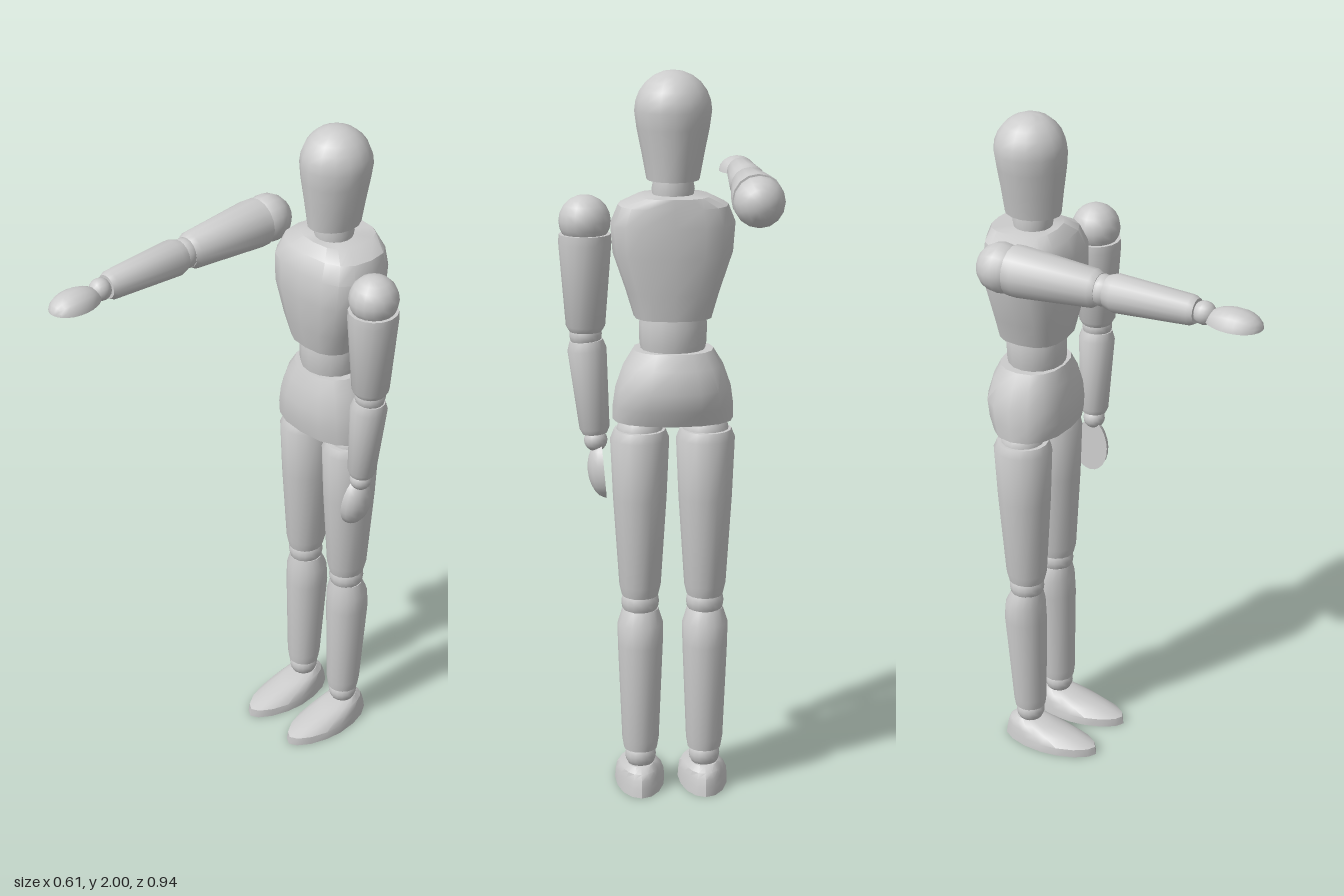
import * as THREE from 'three';
import { toCreasedNormals } from 'three/addons/utils/BufferGeometryUtils.js';

const material = new THREE.MeshStandardMaterial({ color: 0xcccccc });

function add(parent, name, geometry, x = 0, y = 0, z = 0) {
  const mesh = new THREE.Mesh(geometry, material);
  mesh.name = name;
  mesh.position.set(x, y, z);
  parent.add(mesh);
  return mesh;
}

// Closed body through rows of [y, halfWidth, zFront, zBack], listed bottom to top.
// nf and nb set how square the front and back halves are (2 = ellipse).
function loft(rows, nf = 2, nb = nf, sides = 16) {
  const pos = [], idx = [];
  const power = (v, n) => Math.sign(v) * Math.abs(v) ** (2 / n);
  for (const [y, w, zf, zb] of rows) {
    for (let i = 0; i < sides; i++) {
      const a = (i / sides) * Math.PI * 2, s = Math.sin(a), n = s > 0 ? nf : nb;
      pos.push(w * power(Math.cos(a), n), y, (zf + zb) / 2 + ((zf - zb) / 2) * power(s, n));
    }
  }
  const last = (rows.length - 1) * sides, bottom = rows.length * sides;
  for (const [y, , zf, zb] of [rows[0], rows[rows.length - 1]]) pos.push(0, y, (zf + zb) / 2);
  for (let i = 0; i < sides; i++) {
    const j = (i + 1) % sides;
    for (let r = 0; r < last; r += sides) idx.push(r + i, r + sides + i, r + j, r + sides + i, r + sides + j, r + j);
    idx.push(bottom, i, j, bottom + 1, last + j, last + i);
  }
  const g = new THREE.BufferGeometry();
  g.setAttribute('position', new THREE.Float32BufferAttribute(pos, 3));
  g.setIndex(idx);
  return toCreasedNormals(g, 0.65);
}

// Round limb from [y, radius] points, optionally deeper than wide
const limb = (points, depth = 1) => loft(points.map(([y, r]) => [y, r, r * depth, -r * depth]));
const ball = (r) => new THREE.SphereGeometry(r, 16, 10);

// Half egg with a flat palm facing -x
function handGeometry() {
  const g = new THREE.SphereGeometry(1, 16, 12);
  const p = g.attributes.position;
  for (let i = 0; i < p.count; i++) {
    const y = p.getY(i);
    p.setXYZ(i, Math.max(p.getX(i), 0) * 0.045 - 0.015, y * 0.08, p.getZ(i) * 0.054 * (1 - 0.1 * y));
  }
  return toCreasedNormals(g, 0.65);
}

// Arm hanging down -y from its shoulder, with the forearm bent inwards
function arm(name, bend) {
  const g = new THREE.Group();
  g.name = name;
  add(g, 'shoulderBall', ball(0.07));
  add(g, 'upperArm', limb([[-0.3, 0.044], [-0.285, 0.053], [-0.06, 0.071], [-0.035, 0.07]]));
  const lower = new THREE.Group();
  lower.name = 'lowerArm';
  lower.position.y = -0.31;
  lower.rotation.z = -bend;
  add(lower, 'elbowBall', ball(0.044));
  add(lower, 'forearm', limb([[-0.275, 0.034], [-0.26, 0.041], [-0.04, 0.053], [-0.015, 0.045]]));
  add(lower, 'wristBall', ball(0.032), 0, -0.295);
  add(lower, 'hand', handGeometry(), 0, -0.38);
  g.add(lower);
  return g;
}

function leg(name, x) {
  const g = new THREE.Group();
  g.name = name;
  g.position.set(x, 0, -0.338);
  add(g, 'hipBall', ball(0.064), 0, 1.03);
  add(g, 'thigh', limb([[0.57, 0.05], [0.6, 0.057], [0.85, 0.073], [1.015, 0.08], [1.04, 0.07]], 1.08));
  add(g, 'kneeBall', ball(0.052), 0, 0.55);
  add(g, 'shin', loft([
    [0.12, 0.046, 0.046, -0.046], [0.15, 0.051, 0.05, -0.05],
    [0.43, 0.062, 0.057, -0.072], [0.49, 0.063, 0.054, -0.065], [0.53, 0.05, 0.046, -0.046],
  ]));
  add(g, 'ankleBall', ball(0.043), 0, 0.1);
  add(g, 'foot', loft([
    [0, 0.07, 0.228, -0.085], [0.025, 0.068, 0.224, -0.081], [0.045, 0.06, 0.16, -0.075],
    [0.062, 0.05, 0.085, -0.067], [0.076, 0.035, 0.03, -0.045],
  ], 1.75, 2));
  return g;
}

export function createModel() {
  const model = new THREE.Group();
  model.name = 'posedMannequin';

  // Head tapers to a slightly keeled chin, rounded crown on top
  const head = [[1.715, 0.07, -0.253, -0.417], [1.78, 0.082, -0.246, -0.425], [1.85, 0.096, -0.237, -0.435]];
  for (let i = 0; i < 7; i++) {
    const a = (i / 6) * Math.PI / 2, c = Math.max(Math.cos(a), 0.01);
    head.push([1.895 + 0.105 * Math.sin(a), 0.102 * c, -0.337 + 0.103 * c, -0.337 - 0.104 * c]);
  }
  add(model, 'head', loft(head, 1.85, 2));
  add(model, 'neck', limb([[1.65, 0.05], [1.69, 0.057], [1.73, 0.05]]), 0, 0, -0.337);

  // Trunk
  add(model, 'chest', loft([
    [1.35, 0.105, -0.235, -0.428], [1.42, 0.126, -0.218, -0.438], [1.52, 0.16, -0.205, -0.45],
    [1.6, 0.166, -0.207, -0.452], [1.65, 0.146, -0.228, -0.45], [1.676, 0.095, -0.26, -0.448],
  ], 2.7));
  add(model, 'waist', limb([[1.24, 0.082], [1.28, 0.09], [1.33, 0.091], [1.37, 0.084]], 0.95), 0, 0, -0.335);
  add(model, 'pelvis', loft([
    [1.068, 0.163, -0.225, -0.44], [1.11, 0.162, -0.218, -0.457], [1.16, 0.155, -0.218, -0.468],
    [1.22, 0.134, -0.23, -0.452], [1.262, 0.108, -0.245, -0.432],
  ], 2.3));

  // Legs
  model.add(leg('leftLeg', 0.09), leg('rightLeg', -0.088));

  // Left arm hangs, right arm points forwards with the palm down
  const left = arm('leftArm', 0.085);
  left.position.set(0.232, 1.595, -0.266);
  const right = arm('rightArm', 0);
  right.rotation.setFromRotationMatrix(new THREE.Matrix4().makeBasis(
    new THREE.Vector3(0, 1, 0), new THREE.Vector3(0, 0, -1), new THREE.Vector3(-1, 0, 0)));
  right.position.set(-0.232, 1.646, -0.3);
  model.add(left, right);
  return model;
}
